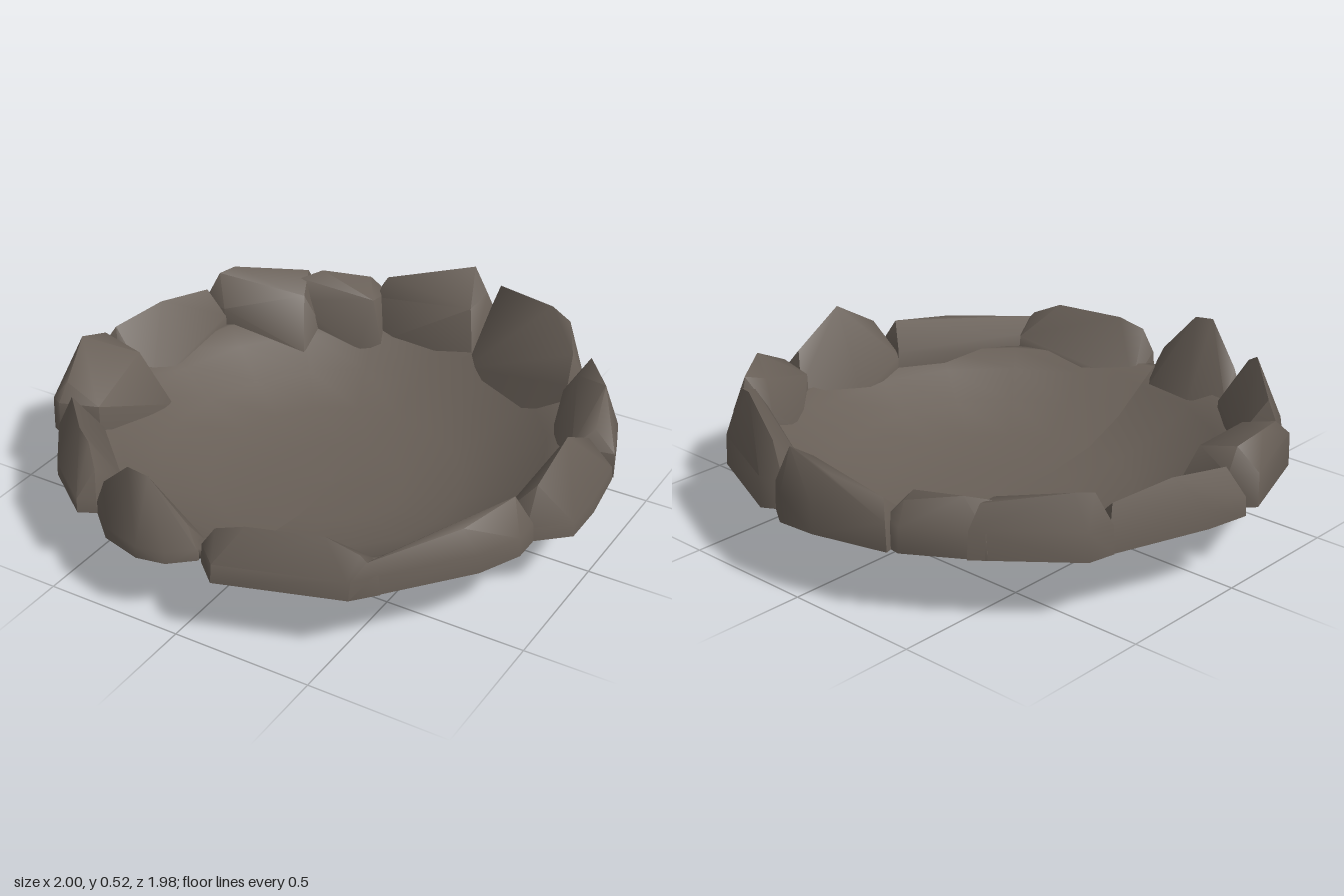
import * as THREE from 'three';
import { toCreasedNormals } from 'three/addons/utils/BufferGeometryUtils.js';
import { ConvexGeometry } from 'three/addons/geometries/ConvexGeometry.js';

const rock = new THREE.MeshStandardMaterial({ color: 0x685f57 });
rock.name = 'dark rock';

// Thin shallow dish: outer skin up to the lip, then back down the inside
function makeBowl() {
  const profile = [
    [0, 0], [0.25, 0.005], [0.46, 0.035], [0.63, 0.105], [0.8, 0.215], [0.89, 0.24],
    [0.88, 0.27], [0.84, 0.275], [0.76, 0.22], [0.63, 0.13], [0.46, 0.058], [0.25, 0.025], [0, 0.02],
  ].map(([r, y]) => new THREE.Vector2(r, y));
  const geo = new THREE.LatheGeometry(profile, 18);
  // slight unevenness so the dish does not look turned
  const p = geo.attributes.position;
  for (let i = 0; i < p.count; i++) {
    const a = Math.atan2(p.getZ(i), p.getX(i));
    const k = 1 + 0.01 * Math.sin(3 * a + 1) + 0.01 * Math.sin(5 * a);
    p.setX(i, p.getX(i) * k);
    p.setZ(i, p.getZ(i) * k);
  }
  geo.computeVertexNormals();
  const bowl = new THREE.Mesh(geo, rock);
  bowl.name = 'bowl';
  return bowl;
}

// Rim stone: footprint corners [x, z], a shoulder on the outer side, and crest points [x, z, y].
// Inner corners sink to the dish so the stone slopes down into it.
function makeStone(name, foot, shoulder, crest) {
  const cx = foot.reduce((s, f) => s + f[0], 0) / foot.length;
  const cz = foot.reduce((s, f) => s + f[1], 0) / foot.length;
  const pts = crest.map(([x, z, y]) => new THREE.Vector3(x, y, z));
  for (const [x, z] of foot) {
    const r = Math.hypot(x, z);
    pts.push(new THREE.Vector3(x, Math.min(0.24, 0.24 - (0.85 - r) * 0.45), z));
    if (r > 0.8) pts.push(new THREE.Vector3(cx + (x - cx) * 0.98, shoulder, cz + (z - cz) * 0.98));
  }
  const mesh = new THREE.Mesh(toCreasedNormals(new ConvexGeometry(pts), 0.95), rock);
  mesh.name = name;
  return mesh;
}

export function createModel() {
  const model = new THREE.Group();
  model.name = 'rock bowl';
  model.add(makeBowl());

  const rim = new THREE.Group();
  rim.name = 'stone rim';
  model.add(rim);
  const stone = (...args) => rim.add(makeStone(...args));

  // front
  stone('frontLeftStone',
    [[0.04, 0.9], [0.13, 0.98], [0.55, 0.84], [0.62, 0.76], [0.55, 0.68], [0.15, 0.74], [0.05, 0.78]], 0.31,
    [[0.1, 0.9, 0.39], [0.2, 0.88, 0.42], [0.45, 0.81, 0.43], [0.56, 0.78, 0.38]]);
  stone('frontStone',
    [[-0.42, 0.84], [-0.4, 0.76], [-0.25, 0.72], [-0.02, 0.76], [0.03, 0.9], [-0.05, 0.97], [-0.15, 0.99], [-0.3, 0.95]], 0.28,
    [[-0.38, 0.84, 0.37], [-0.23, 0.9, 0.51], [-0.15, 0.9, 0.5], [-0.02, 0.88, 0.35]]);
  stone('frontRightStone',
    [[-0.82, 0.53], [-0.67, 0.46], [-0.41, 0.7], [-0.41, 0.85], [-0.47, 0.88], [-0.67, 0.73]], 0.29,
    [[-0.74, 0.54, 0.43], [-0.54, 0.75, 0.48], [-0.49, 0.77, 0.45], [-0.44, 0.81, 0.38]]);

  // model's left side
  stone('leftFrontStone',
    [[0.55, 0.84], [0.83, 0.5], [0.9, 0.35], [0.9, 0.25], [0.77, 0.22], [0.68, 0.47], [0.55, 0.7]], 0.31,
    [[0.58, 0.78, 0.36], [0.77, 0.5, 0.39], [0.84, 0.28, 0.41]]);
  stone('leftStone',
    [[0.77, 0.24], [0.88, 0.27], [1.0, 0.16], [1.0, 0], [0.97, -0.22], [0.82, -0.24], [0.75, 0]], 0.29,
    [[0.88, 0.2, 0.42], [0.9, 0.03, 0.52], [0.89, -0.18, 0.4]]);
  stone('leftBackStone',
    [[0.82, -0.2], [0.97, -0.23], [0.9, -0.42], [0.75, -0.62], [0.7, -0.62], [0.63, -0.54], [0.66, -0.38]], 0.33,
    [[0.88, -0.26, 0.39], [0.84, -0.42, 0.47], [0.71, -0.59, 0.46], [0.7, -0.5, 0.43]]);

  // back
  stone('backLeftStone',
    [[0.14, -0.92], [0.21, -0.96], [0.56, -0.81], [0.68, -0.62], [0.65, -0.54], [0.5, -0.53], [0.15, -0.72]], 0.35,
    [[0.19, -0.91, 0.47], [0.47, -0.77, 0.52], [0.56, -0.73, 0.5], [0.63, -0.61, 0.44]]);
  stone('backStone',
    [[-0.33, -0.91], [-0.06, -0.98], [0.08, -0.99], [0.17, -0.93], [0.16, -0.75], [-0.22, -0.73], [-0.3, -0.8]], 0.34,
    [[-0.28, -0.87, 0.4], [-0.08, -0.93, 0.45], [0.06, -0.95, 0.5], [0.14, -0.9, 0.43], [0.12, -0.8, 0.4]]);
  stone('backRightStone',
    [[-0.36, -0.89], [-0.28, -0.88], [-0.21, -0.7], [-0.28, -0.65], [-0.58, -0.62], [-0.6, -0.74]], 0.33,
    [[-0.34, -0.84, 0.4], [-0.26, -0.72, 0.37], [-0.5, -0.74, 0.43], [-0.56, -0.67, 0.41]]);

  // model's right side
  stone('rightBackStone',
    [[-0.55, -0.78], [-0.84, -0.54], [-0.86, -0.44], [-0.75, -0.41], [-0.46, -0.53], [-0.45, -0.66]], 0.34,
    [[-0.56, -0.73, 0.42], [-0.78, -0.54, 0.46], [-0.81, -0.48, 0.45], [-0.5, -0.6, 0.38]]);
  stone('rightStone',
    [[-0.85, -0.46], [-0.97, -0.1], [-1.0, 0.06], [-0.9, 0.07], [-0.77, 0.05], [-0.75, -0.2], [-0.74, -0.42]], 0.31,
    [[-0.83, -0.42, 0.4], [-0.89, -0.2, 0.43], [-0.94, 0.02, 0.41]]);
  stone('rightFrontStone',
    [[-0.92, 0.06], [-0.68, 0.04], [-0.69, 0.46], [-0.83, 0.51], [-0.87, 0.49], [-0.99, 0.14]], 0.36,
    [[-0.93, 0.23, 0.47], [-0.84, 0.44, 0.41], [-0.76, 0.38, 0.39], [-0.76, 0.12, 0.4], [-0.91, 0.12, 0.44]]);

  return model;
}
